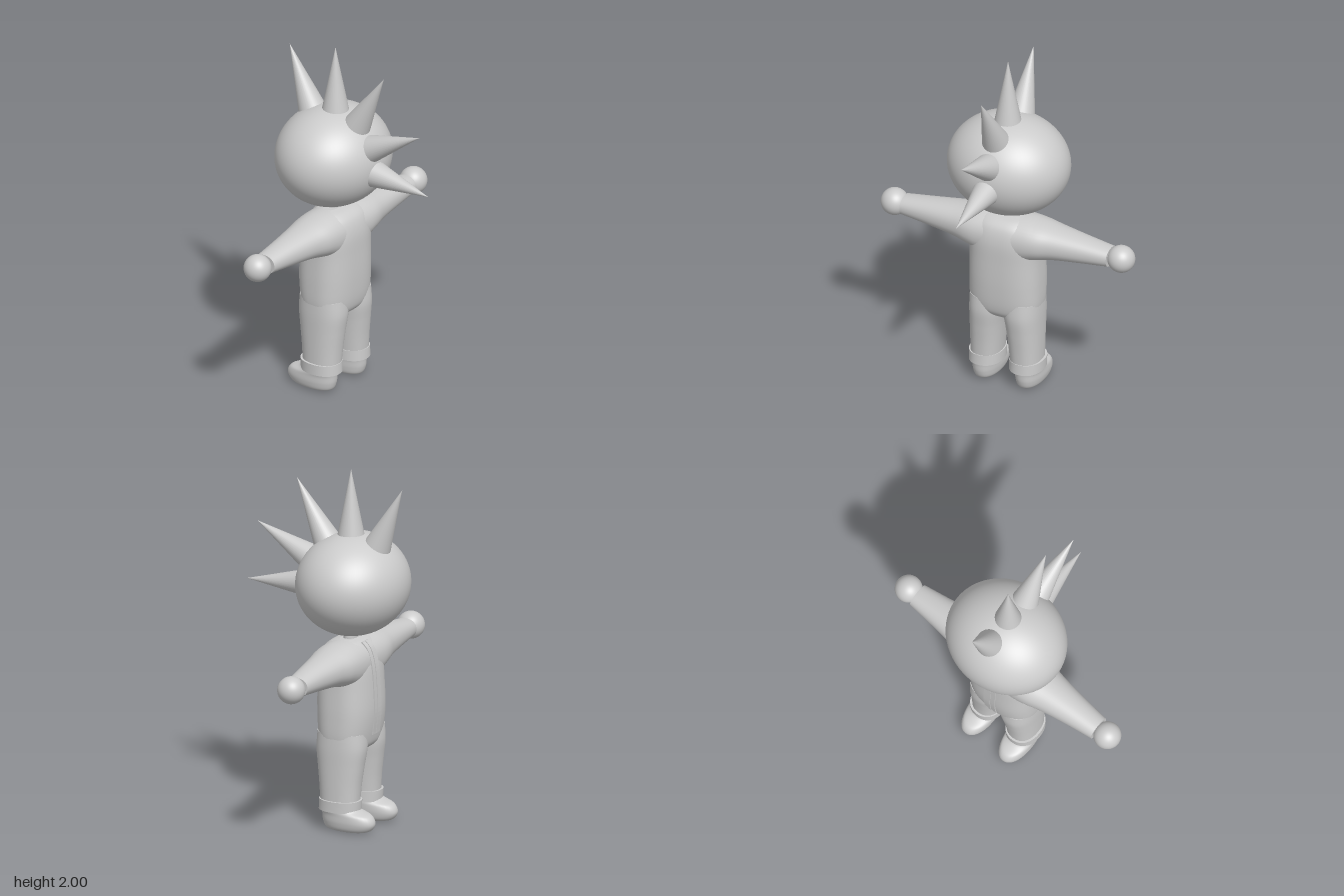
import * as THREE from 'three';

const material = new THREE.MeshStandardMaterial({ color: 0xcccccc, side: THREE.DoubleSide });
const CX = -0.162; // centre line of the figure, which faces -x

// Smooth loft through superellipse sections [t, uMin, uMax, vMin, vMax].
// axis 'y': u = x, v = z.  axis 'z': u = x, v = y.
function loft(sections, axis, power = 2, steps = 40, sides = 40) {
  const n = sections.length - 1;
  const curves = [0, 1, 2, 3, 4].map(k => sections.map(s => s[k]));
  const sample = (list, f) => {
    const i = Math.min(Math.floor(f * n), n - 1), w = f * n - i;
    const p0 = list[Math.max(i - 1, 0)], p1 = list[i], p2 = list[i + 1], p3 = list[Math.min(i + 2, n)];
    const m1 = (p2 - p0) / 2, m2 = (p3 - p1) / 2;
    return p1 + w * (m1 + w * (3 * (p2 - p1) - 2 * m1 - m2 + w * (2 * (p1 - p2) + m1 + m2)));
  };
  const pos = [], index = [];
  const put = (u, v, t) => (axis === 'y' ? pos.push(u, t, v) : pos.push(u, v, t)) / 3 - 1;
  const tri = (a, b, c) => (axis === 'y' ? index.push(a, b, c) : index.push(a, c, b));
  const round = c => Math.sign(c) * Math.abs(c) ** (2 / power);
  const ring = f => {
    const [t, u0, u1, v0, v1] = curves.map(c => sample(c, f));
    const start = pos.length / 3;
    for (let j = 0; j < sides; j++) {
      const a = j / sides * Math.PI * 2;
      put((u0 + u1) / 2 + (u1 - u0) / 2 * round(Math.cos(a)), (v0 + v1) / 2 + (v1 - v0) / 2 * round(Math.sin(a)), t);
    }
    return { start, u: (u0 + u1) / 2, v: (v0 + v1) / 2, t };
  };
  for (let i = 0; i <= steps; i++) {
    const { start } = ring(i / steps);
    if (i === 0) continue;
    for (let j = 0; j < sides; j++) {
      const a = start - sides + j, b = start - sides + (j + 1) % sides;
      tri(a, a + sides, b);
      tri(b, a + sides, b + sides);
    }
  }
  // flat end caps with their own vertices
  for (const f of [0, 1]) {
    const r = ring(f), c = put(r.u, r.v, r.t);
    for (let j = 0; j < sides; j++) {
      const a = r.start + j, b = r.start + (j + 1) % sides;
      f ? tri(c, b, a) : tri(c, a, b);
    }
  }
  const g = new THREE.BufferGeometry();
  g.setAttribute('position', new THREE.Float32BufferAttribute(pos, 3));
  g.setIndex(index);
  g.computeVertexNormals();
  return g;
}

export function createModel() {
  const model = new THREE.Group();
  const add = (name, geometry) => {
    const mesh = new THREE.Mesh(geometry, material);
    mesh.name = name;
    model.add(mesh);
    return mesh;
  };

  // head and neck
  const head = add('head', new THREE.SphereGeometry(1, 64, 48));
  head.scale.set(0.305, 0.283, 0.343);
  head.position.set(-0.175, 1.358, 0);
  const neck = add('neck', new THREE.CylinderGeometry(1, 1, 0.12, 32));
  neck.scale.set(0.037, 1, 0.055);
  neck.position.set(CX, 1.07, 0);

  // row of hair spikes from brow to nape: base x, y and tip x, y
  const spikes = [
    [-0.33, 1.60, -0.476, 1.926],
    [-0.162, 1.63, -0.162, 2.0],
    [-0.005, 1.59, 0.17, 1.905],
    [0.098, 1.47, 0.413, 1.626],
    [0.118, 1.318, 0.476, 1.29],
  ];
  for (const [bx, by, tx, ty] of spikes) {
    const base = new THREE.Vector3(bx, by, 0), tip = new THREE.Vector3(tx, ty, 0);
    const dir = tip.clone().sub(base), length = dir.length();
    dir.normalize();
    const sunk = 0.03; // base buried in the head
    const radius = 0.073 * (length + sunk) / length;
    const spike = add('hairSpike', new THREE.ConeGeometry(radius, length + sunk, 32));
    spike.quaternion.setFromUnitVectors(new THREE.Vector3(0, 1, 0), dir);
    spike.position.copy(tip).addScaledVector(dir, -(length + sunk) / 2);
  }

  // torso
  add('torso', loft([
    [0.42, -0.22, -0.10, -0.12, 0.12],
    [0.46, -0.285, -0.04, -0.185, 0.185],
    [0.52, -0.308, -0.016, -0.205, 0.205],
    [0.65, -0.323, -0.006, -0.208, 0.208],
    [0.80, -0.318, -0.005, -0.205, 0.205],
    [0.92, -0.306, -0.008, -0.205, 0.205],
    [1.00, -0.280, -0.03, -0.185, 0.185],
    [1.04, -0.245, -0.07, -0.14, 0.14],
    [1.055, -0.20, -0.12, -0.09, 0.09],
  ], 'y', 2.6, 56, 56));

  // both sleeves in one sweep across the shoulders
  const sleeve = [
    [0.62, -0.229, -0.094, 0.882, 0.988],
    [0.45, -0.249, -0.072, 0.864, 1.012],
    [0.30, -0.273, -0.048, 0.847, 1.032],
    [0.20, -0.295, -0.025, 0.825, 1.046],
    [0.10, -0.303, -0.018, 0.80, 1.055],
  ];
  const mirrored = sleeve.map(([z, ...rest]) => [-z, ...rest]);
  add('sleeves', loft([...mirrored, ...sleeve.reverse()], 'z', 2.2, 72));

  // hands, legs, cuffs and feet on each side
  for (const s of [-1, 1]) {
    const hand = add('hand', new THREE.SphereGeometry(0.076, 40, 28));
    hand.position.set(CX, 0.935, s * 0.681);

    const side = rows => rows.map(([y, x0, x1, a, b]) =>
      s > 0 ? [y, x0, x1, a, b] : [y, x0, x1, -b, -a]);
    add('leg', loft(side([
      [0.13, -0.268, -0.052, 0.036, 0.204],
      [0.25, -0.277, -0.043, 0.025, 0.205],
      [0.36, -0.291, -0.031, 0.013, 0.206],
      [0.46, -0.304, -0.020, -0.002, 0.207],
      [0.55, -0.300, -0.025, -0.01, 0.205],
    ]), 'y', 2.3));
    add('cuff', loft(side([
      [0.115, -0.280, -0.042, 0.026, 0.216],
      [0.175, -0.283, -0.045, 0.026, 0.216],
    ]), 'y', 2.2, 2));
    add('foot', loft(side([
      [0.003, -0.31, -0.11, 0.085, 0.170],
      [0.018, -0.352, -0.08, 0.060, 0.195],
      [0.055, -0.373, -0.066, 0.050, 0.206],
      [0.095, -0.352, -0.062, 0.048, 0.207],
      [0.122, -0.285, -0.060, 0.048, 0.207],
      [0.16, -0.255, -0.062, 0.050, 0.205],
    ]), 'y', 2.2));
  }

  // front placket following the chest, with a slim zip rib
  const chest = new THREE.SplineCurve([
    [-0.312, 0.53], [-0.323, 0.65], [-0.318, 0.80], [-0.306, 0.92], [-0.282, 1.0], [-0.247, 1.042],
  ].map(p => new THREE.Vector2(...p))).getPoints(30);
  const strip = (name, thickness, width) => {
    const outer = chest.map(p => new THREE.Vector2(p.x - thickness, p.y + thickness * 0.3));
    const inner = chest.map(p => new THREE.Vector2(p.x + 0.015, p.y - 0.005)).reverse();
    const g = new THREE.ExtrudeGeometry(new THREE.Shape([...outer, ...inner]), { depth: width, bevelEnabled: false });
    add(name, g.translate(0, 0, -width / 2));
  };
  strip('placket', 0.005, 0.075);
  strip('zip', 0.009, 0.016);

  return model;
}
